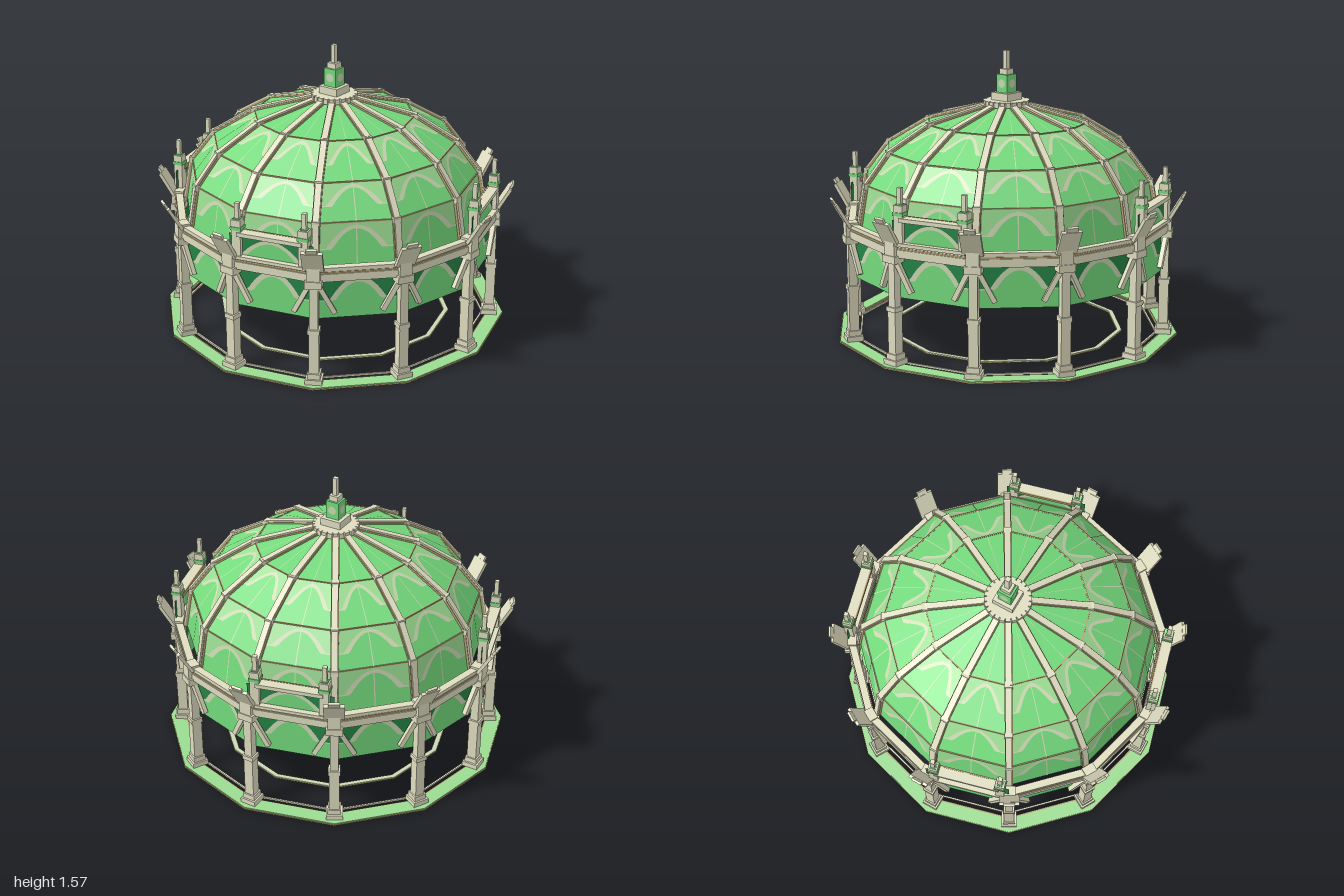
import * as THREE from 'three';

const mat = (name, color) => {
  const m = new THREE.MeshStandardMaterial({ color, side: THREE.DoubleSide });
  m.name = name;
  return m;
};
const stone = mat('pale stone', 0xdfddc0);
const green = mat('glass green', 0x74da7c);
const pale = mat('pale green', 0x9bdc92);
const dark = mat('dark green', 0x268446);
const tan = mat('tan trim', 0xb5a274);
const tracery = mat('tracery', 0xccd8b2);

const N = 12, STEP = Math.PI * 2 / N, S = Math.sin(STEP / 2), C = Math.cos(STEP / 2);
const ORIGIN = new THREE.Vector3(), UP = new THREE.Vector3(0, 1, 0);

export function createModel() {
  const root = new THREE.Group();
  root.name = 'pavilion';

  const add = (parent, name, geo, m) => {
    const mesh = new THREE.Mesh(geo, m);
    mesh.name = name;
    parent.add(mesh);
    return mesh;
  };
  // Box from y0 to y1, centred on x and z
  const box = (p, name, m, w, d, y0, y1, x = 0, z = 0) =>
    add(p, name, new THREE.BoxGeometry(w, y1 - y0, d), m).position.set(x, (y0 + y1) / 2, z);
  // Bar between two points, w wide and d deep, in the parent's frame
  const bar = (p, name, m, a, b, w, d) => {
    const A = new THREE.Vector3(...a), dir = new THREE.Vector3(...b).sub(A);
    const mesh = add(p, name, new THREE.BoxGeometry(w, d, dir.length()), m);
    mesh.position.copy(A).addScaledVector(dir, 0.5);
    mesh.quaternion.setFromRotationMatrix(new THREE.Matrix4().lookAt(dir, ORIGIN, UP));
  };
  // Twelve-sided flat ring with corners on the column lines
  const ring = (p, name, m, r0, r1, y0, y1) => {
    const pts = r => Array.from({ length: N }, (_, i) =>
      new THREE.Vector2(r * Math.cos(i * STEP), r * Math.sin(i * STEP)));
    const shape = new THREE.Shape(pts(r1));
    if (r0 > 0) shape.holes.push(new THREE.Path(pts(r0)));
    const g = new THREE.ExtrudeGeometry(shape, { depth: y1 - y0, bevelEnabled: false });
    g.rotateX(-Math.PI / 2).translate(0, y0, 0);
    add(p, name, g, m);
  };
  // Flat strip between two curves lo(u), hi(u) on one bay between profile points a and b
  const strip = (a, b, lo, hi, n = 32, uMax = 1, lift = 0) => {
    const pos = [], idx = [];
    for (let i = 0; i <= n; i++) {
      const u = (-1 + 2 * i / n) * uMax;
      for (const v of [lo(u), hi(u)]) {
        const r = a[0] + (b[0] - a[0]) * v;
        pos.push(u * r * S, a[1] + (b[1] - a[1]) * v + lift, r * C + lift);
      }
      if (i < n) idx.push(2 * i, 2 * i + 2, 2 * i + 1, 2 * i + 1, 2 * i + 2, 2 * i + 3);
    }
    const g = new THREE.BufferGeometry();
    g.setAttribute('position', new THREE.Float32BufferAttribute(pos, 3));
    g.setIndex(idx);
    g.computeVertexNormals();
    return g;
  };
  // The three faces of an arched panel: field, arch band thicker at its feet, corners above
  const archPanel = (a, b, foot, rise, half, band, spread, cornerMat) => {
    const curve = (h, w) => u => foot + h * Math.max(0, 1 - (u / w) ** 2);
    const arch = curve(rise, half);
    const outer = curve(rise + band, half + spread);
    const top = u => Math.min(0.995, outer(u) + 0.03);
    return [
      ['panelField', strip(a, b, () => 0, arch), green],
      ['panelArch', strip(a, b, arch, top), tracery],
      ['panelCorners', strip(a, b, top, () => 1), cornerMat],
    ];
  };

  const profile = [[0.84, 0.64], [0.8, 0.87], [0.67, 1.04], [0.44, 1.18], [0.1, 1.27]];
  const domePanels = [], seams = [];
  for (let j = 0; j < 4; j++) {
    const a = profile[j], b = profile[j + 1];
    if (j < 3) domePanels.push(...archPanel(a, b, 0.4, 0.45, 0.6, 0.05, 0.15, pale));
    else domePanels.push(['crownPanel', strip(a, b, () => 0, () => 1, 1), green]);
    seams.push(strip(a, b, () => 0, () => 1, 1, 0.014, 0.002));
  }
  const skirt = archPanel([0.875, 0.37], [0.875, 0.6], 0.42, 0.44, 0.52, 0.1, 0.13, dark);
  const parapet = archPanel([0.9, 0.67], [0.9, 0.79], 0.05, 0.7, 0.6, 0.12, 0.12, dark);

  // Ground rings
  ring(root, 'groundRingBase', tan, 0.875, 0.97, 0, 0.008);
  ring(root, 'groundRingTop', pale, 0.885, 0.966, 0.008, 0.012);
  ring(root, 'groundRail', stone, 0.845, 0.855, 0.002, 0.012);
  ring(root, 'innerRingBase', tan, 0.63, 0.66, 0, 0.006);
  ring(root, 'innerRingTop', tracery, 0.632, 0.658, 0.006, 0.01);

  // Ring beam on the columns
  ring(root, 'ringBeam', stone, 0.865, 0.915, 0.595, 0.638);
  ring(root, 'ringBeamInlay', tan, 0.86, 0.91, 0.638, 0.648);
  ring(root, 'ringBeamCornice', stone, 0.865, 0.907, 0.648, 0.668);

  for (let i = 0; i < N; i++) {
    // Column line: column, shield and dome rib
    const col = new THREE.Group();
    col.name = 'columnLine';
    col.rotation.y = i * STEP;
    root.add(col);
    const R = 0.89;
    box(col, 'columnPlinth', stone, 0.09, 0.09, 0.01, 0.04, 0, R);
    box(col, 'columnFoot', stone, 0.07, 0.07, 0.04, 0.07, 0, R);
    box(col, 'columnLowerShaft', stone, 0.054, 0.054, 0.07, 0.3, 0, R);
    box(col, 'columnCollar', stone, 0.064, 0.064, 0.3, 0.325, 0, R);
    box(col, 'columnUpperShaft', stone, 0.046, 0.046, 0.325, 0.57, 0, R);
    box(col, 'columnCap', stone, 0.09, 0.08, 0.565, 0.605, 0, R);
    box(col, 'beamBlock', stone, 0.07, 0.07, 0.605, 0.68, 0, R);
    for (const s of [-1, 1])
      bar(col, 'bracket', stone, [s * 0.025, 0.57, R + 0.005], [s * 0.105, 0.41, R - 0.018], 0.026, 0.026);
    bar(col, 'shieldPlate', stone, [0, 0.66, 0.905], [0, 0.79, 0.979], 0.11, 0.018);
    bar(col, 'shieldTab', stone, [0, 0.78, 0.972], [0, 0.815, 0.993], 0.06, 0.014);
    for (let j = 0; j < 4; j++) {
      const [r0, y0] = profile[j], [r1, y1] = profile[j + 1];
      bar(col, 'domeRib', stone, [0, y0, r0], [0, y1, r1], 0.034, 0.034);
      bar(col, 'domeRibEdge', tan, [0, y0, r0], [0, y1, r1], 0.042, 0.016);
      if (j) box(col, 'ribJoint', stone, 0.044, 0.034, y0 - 0.015, y0 + 0.015, 0, r0);
    }

    // Bay between two columns
    const bay = new THREE.Group();
    bay.name = 'bay';
    bay.rotation.y = (i + 0.5) * STEP;
    root.add(bay);
    for (const [name, g, m] of domePanels) add(bay, name, g, m);
    for (const g of seams) add(bay, 'domeSeam', g, tracery);
    for (const [r, y] of profile.slice(1, 4))
      bar(bay, 'domeHoop', tan, [-r * S, y, r * C], [r * S, y, r * C], 0.007, 0.007);
    for (const [name, g, m] of skirt) add(bay, name, g, m);
    for (const p of [col, bay]) box(p, 'crownTooth', stone, 0.026, 0.03, 1.268, 1.298, 0, 0.112);

    // Every third bay carries a raised parapet with finials
    if (i % 3 === 0) {
      for (const [name, g, m] of parapet) add(bay, name, g, m);
      box(bay, 'parapetRail', stone, 0.36, 0.06, 0.788, 0.81, 0, 0.87);
      box(bay, 'parapetRailEdge', tan, 0.36, 0.008, 0.79, 0.812, 0, 0.842);
      box(bay, 'parapetSill', stone, 0.4, 0.06, 0.66, 0.678, 0, 0.87);
      for (const s of [-1, 1]) {
        const x = s * 0.185, z = 0.868;
        box(bay, 'finialPost', stone, 0.05, 0.05, 0.66, 0.82, x, z);
        box(bay, 'finialCollar', green, 0.06, 0.06, 0.82, 0.838, x, z);
        box(bay, 'finialBlock', stone, 0.052, 0.052, 0.838, 0.875, x, z);
        box(bay, 'finialInlay', green, 0.036, 0.036, 0.875, 0.881, x, z);
        box(bay, 'finialRod', stone, 0.024, 0.024, 0.881, 0.965, x, z);
      }
    }
  }

  // Hanging lanterns under the dome
  for (let k = 0; k < 4; k++) {
    const lamp = new THREE.Group();
    lamp.name = 'lantern';
    lamp.rotation.y = -STEP + k * Math.PI / 2;
    root.add(lamp);
    box(lamp, 'lanternRod', tan, 0.007, 0.007, 0.77, 1.15, 0, 0.48);
    box(lamp, 'lanternCap', tan, 0.042, 0.042, 0.755, 0.77, 0, 0.48);
    const glass = add(lamp, 'lanternGlass', new THREE.CylinderGeometry(0.018, 0.011, 0.05, 6), stone);
    glass.position.set(0, 0.73, 0.48);
    box(lamp, 'lanternFoot', tan, 0.018, 0.018, 0.69, 0.705, 0, 0.48);
  }

  // Crown and spire
  ring(root, 'crownDisc', stone, 0, 0.115, 1.262, 1.298);
  box(root, 'spireBase', stone, 0.12, 0.12, 1.298, 1.34);
  box(root, 'spireLantern', green, 0.078, 0.078, 1.34, 1.44);
  for (let k = 0; k < 4; k++) {
    const side = new THREE.Group();
    side.name = 'spireSide';
    side.rotation.y = k * Math.PI / 2;
    root.add(side);
    add(side, 'spireRoundel', new THREE.CircleGeometry(0.024, 12), tracery).position.set(0, 1.39, 0.041);
  }
  box(root, 'spireCap', stone, 0.055, 0.055, 1.44, 1.47);
  box(root, 'spireRod', stone, 0.026, 0.026, 1.47, 1.57);

  return root;
}
